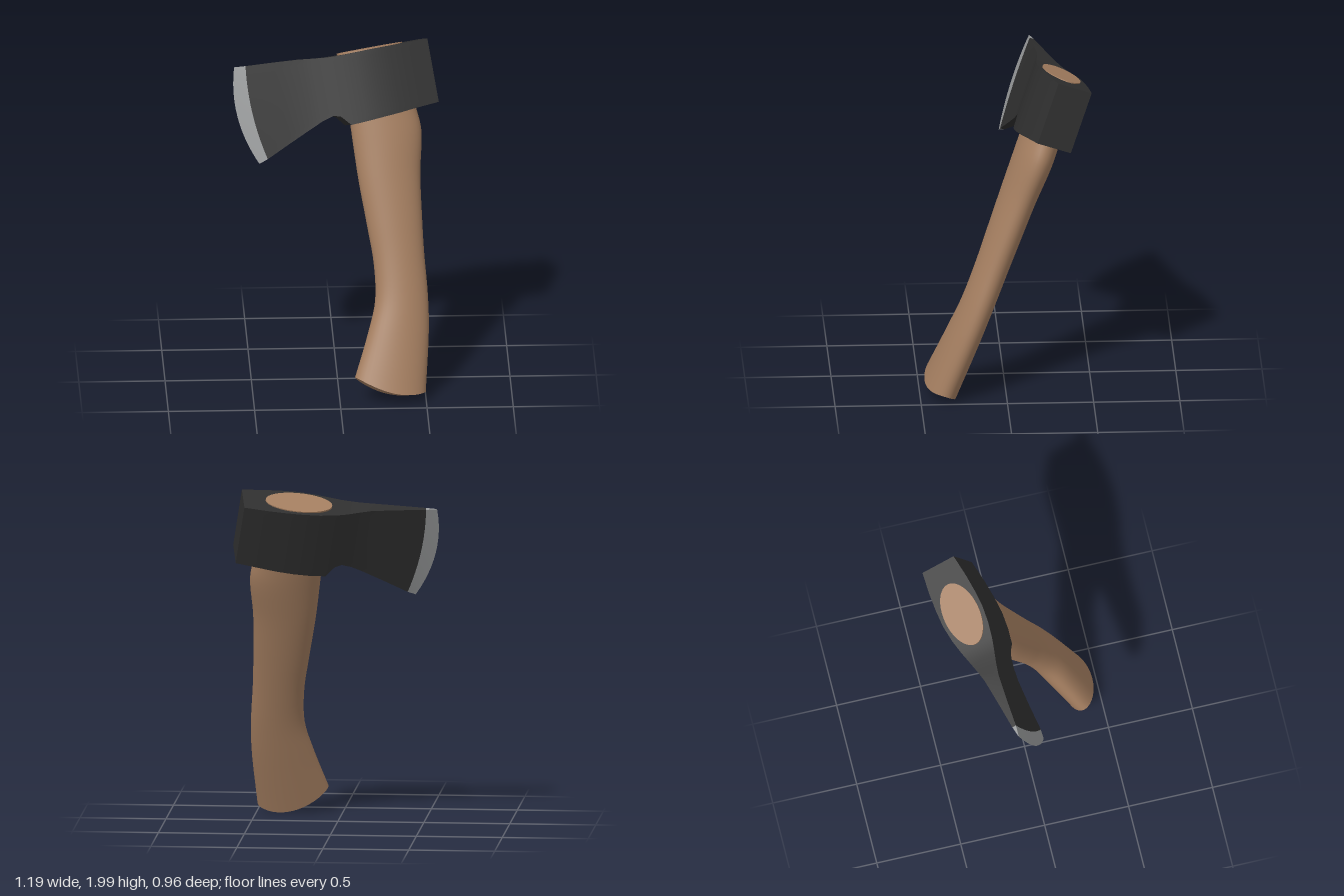
import * as THREE from 'three';
import { toCreasedNormals } from 'three/addons/utils/BufferGeometryUtils.js';

const V = (x, y, z) => new THREE.Vector3(x, y, z);
const MID_Z = 0.417; // symmetry plane of the axe in its own frame

// Skin a row of closed rings and cap both ends.
function loft(rings, crease) {
  const n = rings[0].length;
  const pos = [];
  const index = [];
  rings.forEach((ring) => ring.forEach((p) => pos.push(p.x, p.y, p.z)));
  for (let i = 0; i < rings.length - 1; i++) {
    for (let j = 0; j < n; j++) {
      const a = i * n + j, b = i * n + (j + 1) % n;
      index.push(a, b, a + n, b, b + n, a + n);
    }
  }
  [0, rings.length - 1].forEach((r, end) => {
    const c = rings[r].reduce((s, p) => s.add(p), V(0, 0, 0)).divideScalar(n);
    const centre = pos.length / 3;
    pos.push(c.x, c.y, c.z);
    for (let j = 0; j < n; j++) {
      const a = r * n + j, b = r * n + (j + 1) % n;
      if (end) index.push(centre, a, b);
      else index.push(centre, b, a);
    }
  });
  const g = new THREE.BufferGeometry();
  g.setAttribute('position', new THREE.Float32BufferAttribute(pos, 3));
  g.setIndex(index);
  return toCreasedNormals(g, crease);
}

// Upright slice of the head: top and bottom points, bow of the line between, half thickness.
function slice([xt, yt, xb, yb, bow, half], steps = 12) {
  const side = (z) => Array.from({ length: steps + 1 }, (_, k) => {
    const v = k / steps;
    return V(xt + (xb - xt) * v + bow * 4 * v * (1 - v), yt + (yb - yt) * v, MID_Z + z);
  });
  return [...side(half), ...side(-half).reverse()];
}

export function createModel() {
  const wood = new THREE.MeshStandardMaterial({ name: 'wood', color: 0xa47e60 });
  const iron = new THREE.MeshStandardMaterial({ name: 'blackIron', color: 0x2f2f2f });
  const steel = new THREE.MeshStandardMaterial({ name: 'groundSteel', color: 0x97999a });

  const axe = new THREE.Group();
  axe.name = 'axe';
  const add = (name, geometry, material) => {
    const mesh = new THREE.Mesh(geometry, material);
    mesh.name = name;
    axe.add(mesh);
  };

  // Head: thin at the blade, swelling round the eye, square at the poll
  const bladeLine = [-0.287, 1.895, -0.255, 1.341, -0.025, 0.012];
  const body = [
    [0.033, 1.876, 1.472, 0.045],
    [0.1, 1.868, 1.502, 0.06],
    [0.16, 1.862, 1.52, 0.077],
    [0.2, 1.859, 1.508, 0.088],
    [0.25, 1.858, 1.45, 0.102],
    [0.34, 1.86, 1.455, 0.121],
    [0.44, 1.863, 1.463, 0.132],
    [0.54, 1.863, 1.47, 0.13],
    [0.64, 1.863, 1.48, 0.123],
    [0.78, 1.863, 1.49, 0.105],
  ].map(([x, yt, yb, half]) => [x, yt, x, yb, 0, half]);
  const headSlices = [bladeLine, [-0.12, 1.886, -0.1, 1.412, -0.01, 0.028], ...body];
  add('head', loft(headSlices.map((s) => slice(s)), 0.4), iron);

  // Ground cutting edge
  const edge = [-0.352, 1.9, -0.306, 1.323, -0.055, 0.001];
  add('cuttingEdge', loft([edge, bladeLine].map((s) => slice(s)), 0.4), steel);

  // Handle: oval slices given by rear and front points, half thickness, bow of the cut
  const stations = [
    [0.258, 1.869, 0.648, 1.869, 0.108, 0],
    [0.263, 1.48, 0.66, 1.5, 0.108, 0],
    [0.258, 1.33, 0.669, 1.35, 0.107, 0],
    [0.252, 1.13, 0.617, 1.1, 0.1, 0],
    [0.254, 0.87, 0.583, 0.86, 0.095, 0],
    [0.253, 0.63, 0.557, 0.65, 0.091, 0],
    [0.222, 0.42, 0.535, 0.41, 0.09, 0],
    [0.145, 0.24, 0.505, 0.21, 0.093, 0.015],
    [0.025, 0.005, 0.42, -0.152, 0.097, 0.055],
  ];
  const rear = new THREE.CatmullRomCurve3(stations.map((s) => V(s[0], s[1], 0)));
  const front = new THREE.CatmullRomCurve3(stations.map((s) => V(s[2], s[3], 0)));
  const shape = new THREE.CatmullRomCurve3(stations.map((s, i) => V(s[4], s[5], i * 0.1)));
  const rings = [];
  const ROWS = 40, SIDES = 40;
  for (let i = 0; i <= ROWS; i++) {
    const t = i / ROWS;
    const l = rear.getPoint(t), r = front.getPoint(t), { x: half, y: bow } = shape.getPoint(t);
    rings.push(Array.from({ length: SIDES }, (_, j) => {
      const a = (j / SIDES) * Math.PI * 2;
      const p = l.clone().lerp(r, 0.5 + 0.5 * Math.cos(a));
      return V(p.x, p.y - bow * Math.sin(a) ** 2, MID_Z + half * Math.sin(a));
    }));
  }
  add('handle', loft(rings, 0.7), wood);

  // Lean the whole axe back and turn it slightly
  const up = V(-0.165, 0.929, -0.333).normalize();
  const across = V(0.154, 0.346, 0.924).normalize();
  const along = up.clone().cross(across).normalize();
  across.crossVectors(along, up);
  axe.quaternion.setFromRotationMatrix(new THREE.Matrix4().makeBasis(along, up, across));

  const model = new THREE.Group();
  model.name = 'hatchet';
  model.add(axe);
  return model;
}
